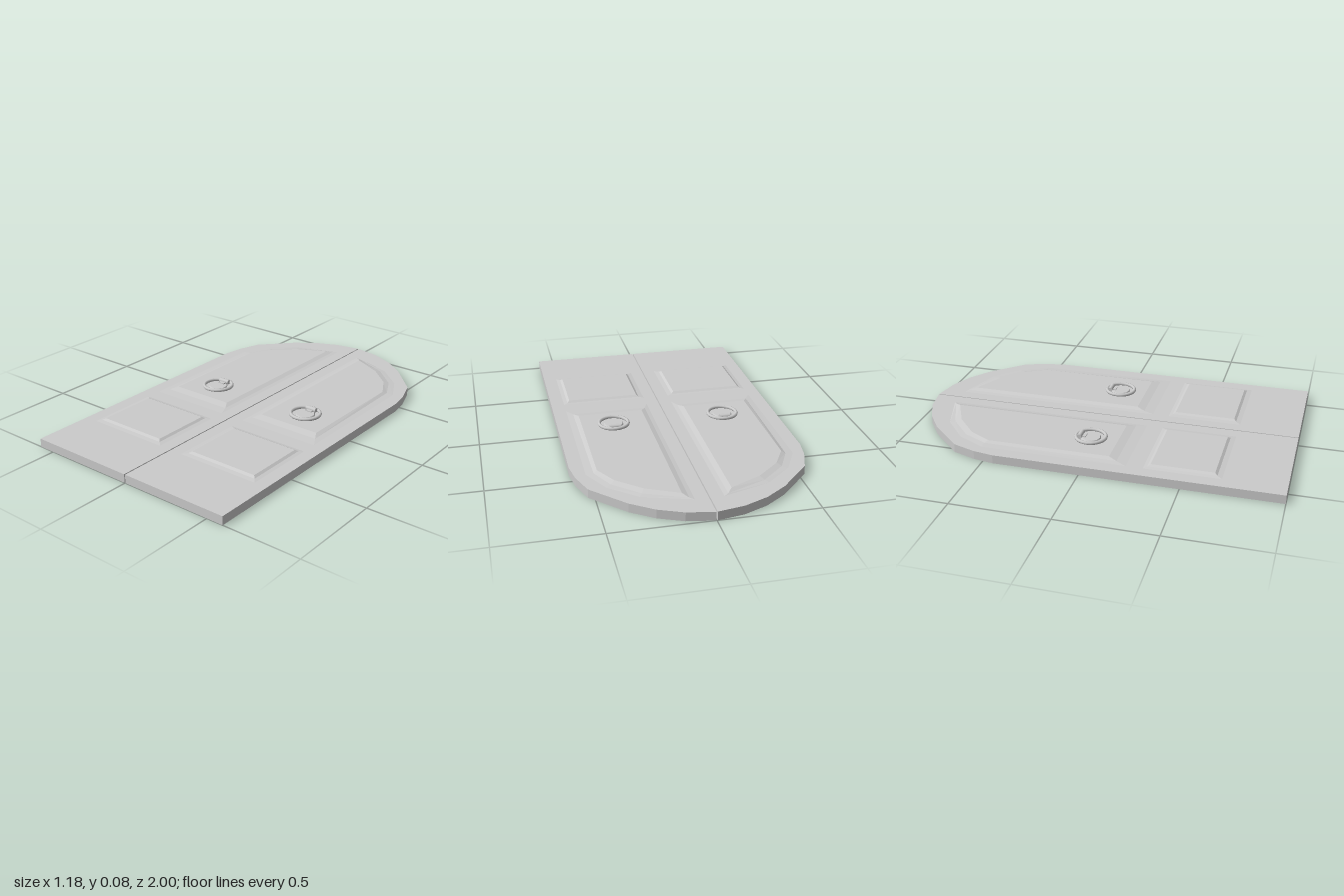
import * as THREE from 'three';
import { mergeGeometries } from 'three/addons/utils/BufferGeometryUtils.js';

const material = new THREE.MeshStandardMaterial({ color: 0xcccccc, side: THREE.DoubleSide });
const FACE = 0.045; // height of the door face
const TOP = 0.056;  // height of the raised panels

// Points are [x, z] pairs, going counter-clockwise seen from above
const toShape = pts => new THREE.Shape(pts.map(([x, z]) => new THREE.Vector2(x, -z)));

// Flat horizontal sheet at height y, with optional holes
function sheet(pts, y, holes = []) {
  const shape = toShape(pts);
  shape.holes = holes.map(toShape);
  const g = new THREE.ShapeGeometry(shape).rotateX(-Math.PI / 2).translate(0, y, 0).toNonIndexed();
  g.deleteAttribute('uv');
  return g;
}

// Band of faces joining a lower loop to an upper loop
function band(low, y0, high, y1) {
  const v = [];
  low.forEach((p, i) => {
    const j = (i + 1) % low.length;
    const a = [p[0], y0, p[1]], b = [low[j][0], y0, low[j][1]];
    const c = [high[j][0], y1, high[j][1]], d = [high[i][0], y1, high[i][1]];
    v.push(...a, ...b, ...c, ...a, ...c, ...d);
  });
  const g = new THREE.BufferGeometry();
  g.setAttribute('position', new THREE.Float32BufferAttribute(v, 3));
  g.computeVertexNormals();
  return g;
}

const mesh = (name, geometry) => {
  const m = new THREE.Mesh(geometry, material);
  m.name = name;
  return m;
};

const rect = (x0, x1, z0, z1) => [[x0, z1], [x1, z1], [x1, z0], [x0, z0]];

// Raised panel: gentle outer slope, steeper bevel, flat top
function panel(name, [outer, mid, inner]) {
  return mesh(name, mergeGeometries([
    band(outer, FACE, mid, FACE + 0.003),
    band(mid, FACE + 0.003, inner, TOP),
    sheet(inner, TOP),
  ]));
}

function doorLeaf() {
  const leaf = new THREE.Group();

  const outline = [[0.003, 1], [0.59, 1], [0.59, -0.444], [0.573, -0.55], [0.531, -0.673],
    [0.371, -0.843], [0.26, -0.923], [0.138, -0.976], [0.003, -1]];

  const lower = [
    rect(0.07, 0.52, 0.305, 0.69),
    rect(0.095, 0.5, 0.322, 0.665),
    rect(0.108, 0.487, 0.336, 0.652),
  ];
  const upper = [
    [[0.07, 0.22], [0.52, 0.22], [0.52, -0.53], [0.445, -0.675], [0.31, -0.795], [0.07, -0.872]],
    [[0.092, 0.165], [0.488, 0.165], [0.482, -0.53], [0.42, -0.655], [0.295, -0.77], [0.092, -0.856]],
    [[0.118, 0.122], [0.464, 0.122], [0.464, -0.515], [0.4, -0.632], [0.28, -0.74], [0.118, -0.82]],
  ];

  // Hollow leaf, open underneath
  leaf.add(mesh('doorFace', sheet(outline, FACE, [lower[0], upper[0]])));
  leaf.add(mesh('doorEdge', band(outline, 0, outline, FACE)));
  leaf.add(panel('lowerPanel', lower), panel('upperPanel', upper));

  // Ring pull: back plate, ring and hinge barrel
  const handle = new THREE.Group();
  handle.name = 'ringHandle';
  handle.position.set(0.297, 0, -0.02);
  const plate = mesh('handlePlate', new THREE.CylinderGeometry(0.048, 0.058, 0.014, 10));
  plate.position.y = 0.055;
  const ring = mesh('handleRing', new THREE.TorusGeometry(0.077, 0.009, 8, 24).rotateX(Math.PI / 2));
  ring.position.y = 0.063;
  const barrel = mesh('handleBarrel', new THREE.CylinderGeometry(0.013, 0.013, 0.06, 10).rotateZ(Math.PI / 2));
  barrel.position.set(0, 0.067, -0.055);
  const bracket = mesh('handleBracket', new THREE.BoxGeometry(0.036, 0.014, 0.05));
  bracket.position.set(0, 0.06, -0.05);
  handle.add(plate, ring, barrel, bracket);
  leaf.add(handle);
  return leaf;
}

export function createModel() {
  const model = new THREE.Group();
  model.name = 'archedDoubleDoor';
  for (const side of [1, -1]) {
    const leaf = doorLeaf();
    leaf.name = side > 0 ? 'leftDoor' : 'rightDoor';
    leaf.scale.x = side;
    model.add(leaf);
  }
  return model;
}
